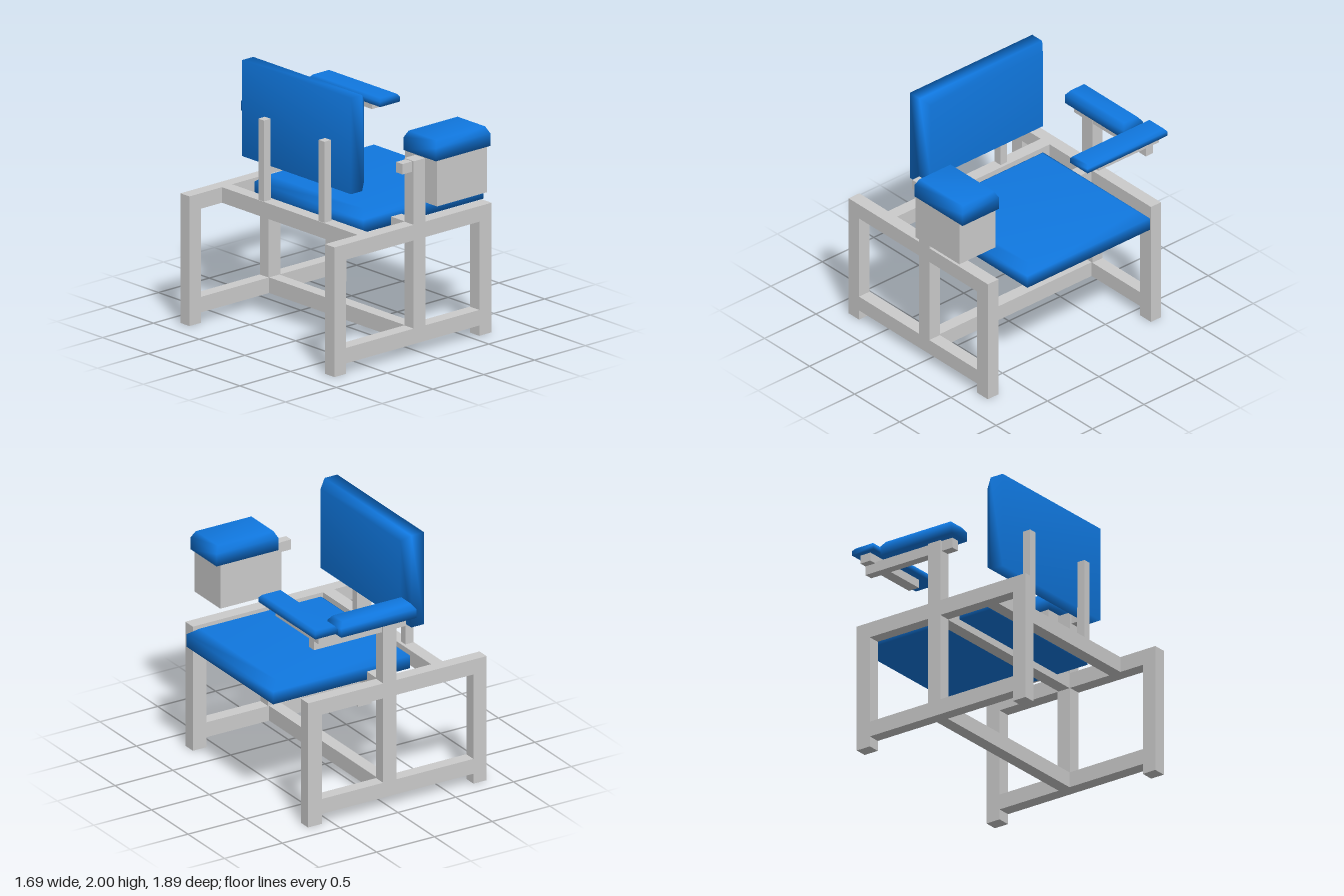
import * as THREE from 'three';
import { mergeVertices } from 'three/addons/utils/BufferGeometryUtils.js';

const grey = new THREE.MeshStandardMaterial({ color: 0xcccccc });
const blue = new THREE.MeshStandardMaterial({ color: 0x1078e0 });

// Box given by its extents along each axis
function bar(name, [x0, x1], [y0, y1], [z0, z1]) {
  const mesh = new THREE.Mesh(new THREE.BoxGeometry(x1 - x0, y1 - y0, z1 - z0), grey);
  mesh.position.set((x0 + x1) / 2, (y0 + y1) / 2, (z0 + z1) / 2);
  mesh.name = name;
  return mesh;
}

// Soft pad: straight sides up to the shoulder, then a bevel to a smaller top
function padGeometry(w, h, d, bevelHeight, inset) {
  let geo = new THREE.BoxGeometry(w, h, d, 1, 2, 1);
  const p = geo.attributes.position;
  for (let i = 0; i < p.count; i++) {
    const y = p.getY(i);
    if (Math.abs(y) < 1e-6) p.setY(i, h / 2 - bevelHeight);
    else if (y > 0) {
      p.setX(i, p.getX(i) - Math.sign(p.getX(i)) * inset);
      p.setZ(i, p.getZ(i) - Math.sign(p.getZ(i)) * inset);
    }
  }
  // Share the corners so the upholstery shades smoothly
  geo.deleteAttribute('normal');
  geo.deleteAttribute('uv');
  geo = mergeVertices(geo);
  geo.computeVertexNormals();
  return geo;
}

function pad(name, [x0, x1], [y0, y1], [z0, z1], bevelHeight, inset) {
  const mesh = new THREE.Mesh(padGeometry(x1 - x0, y1 - y0, z1 - z0, bevelHeight, inset), blue);
  mesh.position.set((x0 + x1) / 2, (y0 + y1) / 2, (z0 + z1) / 2);
  mesh.name = name;
  return mesh;
}

// Side frame: two legs, a tall middle post and two rails
function sideFrame(name, z) {
  const frame = new THREE.Group();
  frame.name = name;
  frame.add(
    bar('rearLeg', [-0.85, -0.735], [0, 1], z),
    bar('frontLeg', [0.575, 0.695], [0, 1], z),
    bar('armPost', [-0.07, 0.045], [0.08, 1.49], z)
  );
  for (const y of [[0.08, 0.2], [0.88, 1]]) {
    frame.add(bar('rearRail', [-0.735, -0.07], y, z), bar('frontRail', [0.045, 0.575], y, z));
  }
  return frame;
}

export function createModel() {
  const model = new THREE.Group();
  model.name = 'armchair';

  // Side frames and the rails across them
  model.add(sideFrame('rightFrame', [0.71, 0.813]), sideFrame('leftFrame', [-0.87, -0.773]));
  const span = [-0.773, 0.71];
  model.add(
    bar('lowerCrossRail', [-0.065, 0.035], [0.08, 0.2], span),
    bar('middleCrossRail', [-0.065, 0.035], [0.88, 1], span),
    bar('rearCrossRail', [-0.53, -0.43], [0.88, 1], span)
  );

  // Seat
  model.add(pad('seat', [-0.34, 0.845], [0.935, 1.09], [-0.63, 0.56], 0.055, 0.07));

  // Backrest, its bevelled face turned towards the seat
  const back = new THREE.Mesh(padGeometry(0.74, 0.175, 1.19, 0.065, 0.05), blue);
  back.name = 'backrest';
  back.rotation.z = -Math.PI / 2;
  back.position.set(-0.3725, 1.63, -0.035);
  model.add(back);
  for (const z of [-0.35, 0.31]) {
    model.add(bar('backrestPost', [-0.525, -0.455], [1, 1.625], [z - 0.031, z + 0.031]));
  }

  // Box armrest
  model.add(
    bar('rightArmBracket', [-0.165, 0.5], [1.405, 1.485], [0.725, 0.795]),
    bar('armBox', [0.04, 0.53], [1.15, 1.5], [0.593, 0.945]),
    pad('rightArmPad', [0.03, 0.565], [1.5, 1.65], [0.59, 0.945], 0.052, 0.027)
  );

  // Open armrest with the swing pad across its front end
  model.add(
    bar('leftArmBracket', [-0.165, 0.63], [1.405, 1.485], [-0.85, -0.78]),
    pad('leftArmPad', [-0.21, 0.44], [1.485, 1.597], [-0.92, -0.73], 0.04, 0.03),
    bar('swingPadSupport', [0.54, 0.63], [1.475, 1.54], [-0.91, -0.32]),
    pad('swingPad', [0.485, 0.68], [1.54, 1.6], [-0.945, -0.17], 0.022, 0.018)
  );

  return model;
}
